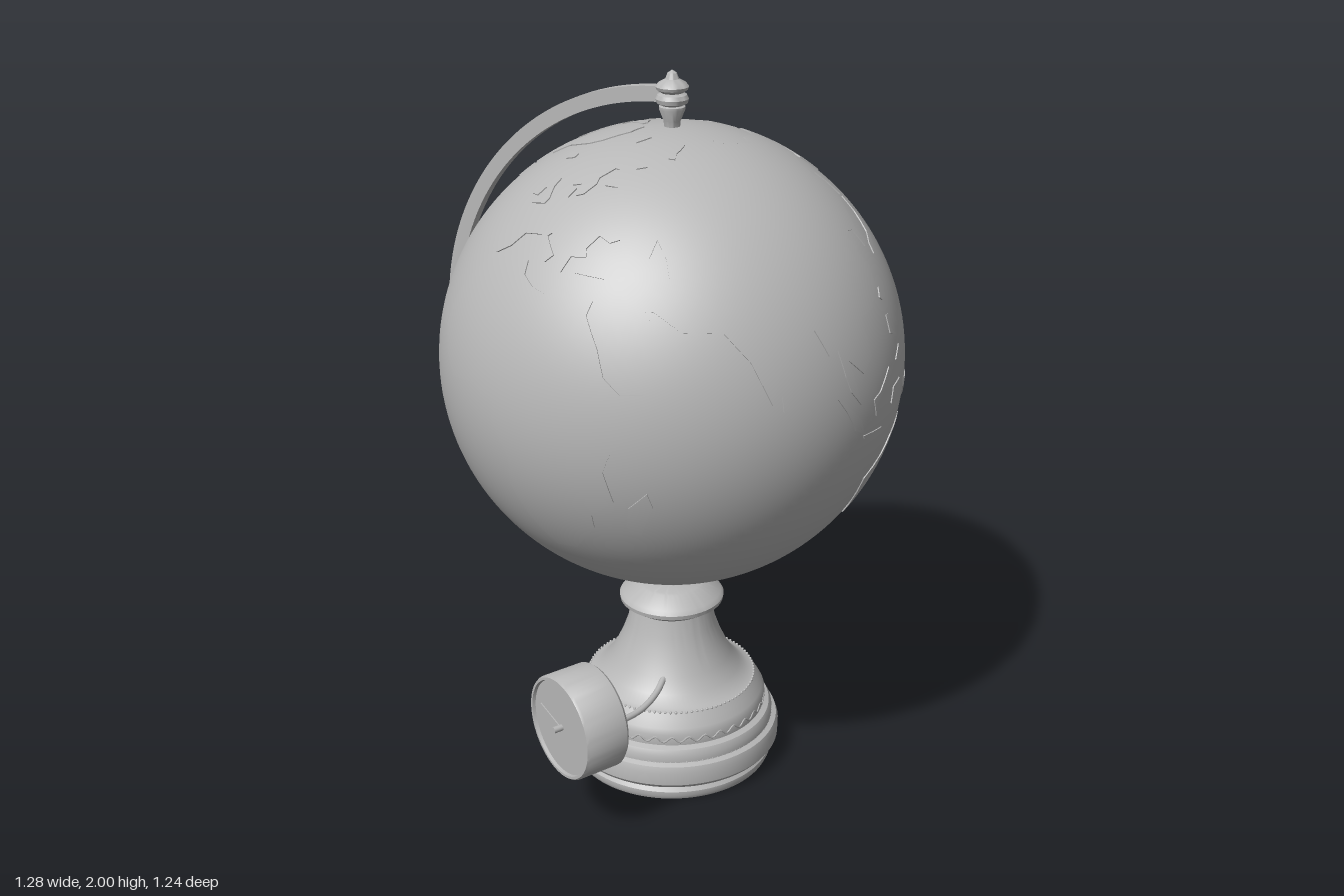
import * as THREE from 'three';
import { mergeGeometries, toCreasedNormals } from 'three/addons/utils/BufferGeometryUtils.js';

const AXIS_X = 0.015, BALL_Y = 1.235, BALL_R = 0.621, RELIEF = 0.003;
const grey = new THREE.MeshStandardMaterial({ color: 0xb8b8b8 });
grey.name = 'plain grey';

// Coastlines as longitude, latitude pairs in degrees
const LAND = {
  europe: [-9, 37, -9, 43, -2, 43.5, -1, 46, -5, 48.5, 2, 51, 8, 54, 8, 57, 10.5, 57.5, 10, 54.5, 14, 54, 19, 54.5, 21, 57, 24, 59, 30, 60,
    23, 60, 21.5, 63, 25, 65.5, 22, 65.8, 17.5, 62, 18.5, 60, 16, 56.5, 13, 55.5, 11, 59, 7, 58, 5, 61, 12, 66, 19, 70, 28, 71, 40, 67.5,
    34, 66.5, 38, 64, 44, 66, 46, 68, 60, 69, 60, 47, 50, 46.5, 48, 42, 41.5, 41.5, 38, 46, 35, 45, 31, 46.5, 28, 43, 29, 41,
    24, 40.5, 23, 38, 22.5, 36.5, 19.5, 41, 13.5, 45, 12.5, 44, 18, 40, 16, 38, 10, 44, 3, 43, 0, 39, -5, 36],
  asia: [60, 69, 68, 69, 73, 72, 80, 73, 98, 76, 104, 77.5, 113, 74, 130, 71, 140, 73, 160, 70, 180, 69, 190, 66, 178, 63, 170, 60, 163, 58,
    162, 55, 157, 51, 156, 57, 163, 62, 155, 59, 143, 59, 136, 54.5, 141, 52, 140, 48, 132, 43, 128, 39.5, 129.5, 36, 126.5, 34.5,
    125, 39.5, 121.5, 40, 118, 38.5, 122, 37, 119.5, 35, 122, 31, 120, 26, 114, 22, 108, 21.5, 109, 12, 105, 9, 100, 13.5, 103.5, 2,
    100, 6, 98.5, 10, 97, 16.5, 94, 16, 91, 22.5, 87, 21.5, 80, 15, 77.5, 8, 73, 18, 67, 25, 57, 25.5, 50, 30, 48, 30, 51, 25, 56.5, 26,
    60, 22, 55, 17, 43, 13, 35, 28, 34, 31.5, 36, 36.5, 27, 37, 26, 39.5, 29, 41, 35, 42, 41.5, 41.5, 48, 42, 50, 37, 54, 37, 53, 42, 50, 46.5, 60, 47],
  africa: [-6, 36, 3, 37, 10, 37.3, 11, 34, 15, 32, 20, 31, 22, 33, 30, 31, 34, 31.3, 33, 28, 37, 21, 39, 15, 43, 11.5, 51, 12, 48, 5, 41, -2,
    39, -7, 41, -15, 35, -20, 35, -24, 32, -28, 27, -34, 20, -35, 18, -32, 15, -26, 12, -17, 13.5, -9, 9, -1, 9.5, 4, 5, 4.5, 2, 6.3,
    -4, 5.2, -8, 4.4, -13, 8.5, -17, 14.5, -16.5, 20, -13, 27.5, -9.5, 31],
  northAmerica: [-168, 66, -156, 71, -141, 69.6, -128, 70, -115, 68, -108, 68, -96, 68, -94, 72, -85, 69.5, -82, 67, -93, 62, -94, 58.5,
    -88, 56.5, -82, 55, -80, 51.5, -77, 56, -78, 62, -70, 61, -65, 59, -61, 56, -56, 52, -66, 50, -64.5, 47, -61, 45.5, -66, 44, -70, 43,
    -74, 40, -76, 35, -81, 31, -80, 25.5, -83, 29.5, -90, 29.5, -97, 28, -97.5, 21, -94, 18, -90.5, 21, -87, 21, -88, 16, -83.5, 15,
    -83, 10, -78, 9, -82, 7.5, -86, 11, -94, 16, -105, 20, -109, 26, -114, 31, -109.5, 23, -115, 29, -120, 34, -124, 40, -124, 47,
    -130, 54, -138, 59, -147, 61, -154, 58, -163, 55, -158, 58.5, -165, 61.5],
  southAmerica: [-78, 9, -72, 12, -62, 10.5, -51, 4, -50, 0, -44, -2.5, -35, -6, -39, -13, -40, -21, -48, -26, -53, -34, -57, -35, -57, -38,
    -62, -39, -65, -43, -66, -48, -68, -54, -72, -53, -75, -46, -73, -37, -70, -20, -76, -14, -81, -5, -80, 0, -77, 4],
  greenland: [-73, 78, -60, 82, -33, 83.5, -18, 80, -20, 73, -25, 70, -40, 65, -43, 60, -50, 62, -54, 69, -58, 75],
  antarctica: [-180, -90, -180, -78, -158, -77, -130, -74, -100, -72.5, -75, -73, -67, -68, -58, -63.5, -62, -70, -62, -75, -40, -78, -25, -75,
    -10, -71, 20, -70, 40, -69, 55, -66, 70, -69, 90, -66.5, 115, -66.5, 140, -66.5, 165, -71, 166, -77.5, 180, -78, 180, -90],
  australia: [114, -22, 122, -18, 126, -14, 131, -12, 136, -12, 136, -15, 140.5, -17.5, 142.3, -11, 146, -19, 150, -23, 153.3, -27,
    150, -37, 144, -38.5, 138, -35, 137, -33, 131, -31.5, 124, -33, 118, -35, 115, -34, 115.5, -31],
  madagascar: [49, -12, 50.3, -16, 47, -25, 44.5, -25, 43.5, -22, 44.5, -16.5],
  borneo: [109, 1.5, 112, 2.5, 117, 7, 119, 5, 117, 1, 116, -4, 110.5, -3],
  sumatra: [95.5, 5.5, 98, 4, 104, -2, 105.7, -6, 102, -4, 98.5, 1.5],
  java: [105.5, -6.5, 114.3, -7.3, 114.3, -8.6, 106, -7.4],
  sulawesi: [120, 1, 125, 1.5, 121, 0, 122.5, -5, 120.5, -5, 119, -3],
  newGuinea: [131, -0.7, 135, -3, 141, -2.6, 147, -6, 150.5, -10.5, 144, -7.7, 138, -8.2, 133, -4],
  philippinesNorth: [120.5, 18.5, 122.3, 18.3, 121.5, 15, 124, 12.7, 120.5, 14],
  philippinesSouth: [122, 7, 125.5, 9.7, 126.3, 6.5],
  japan: [130, 31.5, 131, 34, 136, 36, 140, 41, 142, 45.3, 145, 43.5, 141, 42, 142, 39.5, 140.5, 35.5, 135.5, 33.6],
  sakhalin: [142, 46, 142, 54, 143.5, 52, 143.5, 47],
  taiwan: [120, 23, 121.5, 25.2, 121, 22],
  sriLanka: [80, 9.7, 81.8, 7, 80.3, 6],
  britain: [-5.5, 50, 1.3, 51.2, 1.5, 52.7, -2, 56, -3, 58.6, -6, 57, -3, 54.5, -4.7, 52],
  ireland: [-10, 52, -6.3, 52.2, -6, 55, -9.5, 54],
  iceland: [-24, 65.5, -16, 66.4, -13.7, 65, -19, 63.4],
  svalbard: [11, 79.5, 25, 80.3, 16.5, 76.7],
  novayaIsland: [52, 71, 56, 74, 68, 77, 58, 73, 57, 70.7],
  baffin: [-90, 73.5, -78, 73.5, -62, 66.5, -66, 62.5, -73, 65, -73, 68, -88, 71],
  victoria: [-117, 70, -116, 73, -105, 73, -102, 69, -112, 68.7],
  ellesmere: [-90, 77, -90, 81, -70, 83, -62, 82.3, -78, 77],
  newfoundland: [-59, 47.7, -56, 51.5, -53, 47],
  cuba: [-84.8, 22, -81, 23.2, -74.3, 20.2, -78, 20],
  hispaniola: [-74, 18.4, -72.5, 19.9, -68.5, 18.5],
  northNewZealand: [172.8, -34.6, 178.3, -37.8, 175.2, -41.5, 174.5, -38.5],
  southNewZealand: [172.7, -40.6, 174.2, -41.8, 170.7, -45.8, 168, -46.6, 166.6, -45.8],
  tasmania: [144.7, -40.8, 148.2, -41, 147, -43.6],
};

function onGlobe([lon, lat], r) {
  return new THREE.Vector3().setFromSphericalCoords(r, (90 - lat) * Math.PI / 180, lon * Math.PI / 180);
}

// Raised land: curved top split into small triangles, with a low wall along the coast
function landGeometry(flat) {
  const MAX = 5, pos = [], nor = [];
  let pts = [];
  const dist = (a, b) => Math.hypot(a[0] - b[0], a[1] - b[1]);
  const mix = (a, b, t) => [a[0] + (b[0] - a[0]) * t, a[1] + (b[1] - a[1]) * t];
  for (let i = 0; i < flat.length; i += 2) {
    const a = [flat[i], flat[i + 1]], j = (i + 2) % flat.length, b = [flat[j], flat[j + 1]];
    const n = Math.ceil(dist(a, b) / MAX);
    for (let k = 0; k < n; k++) pts.push(mix(a, b, k / n));
  }
  let contour = pts.map(p => new THREE.Vector2(...p));
  if (THREE.ShapeUtils.isClockWise(contour)) { contour.reverse(); pts.reverse(); }
  const top = (a, b, c) => {
    const [d, p, q, r] = [[dist(a, b), a, b, c], [dist(b, c), b, c, a], [dist(c, a), c, a, b]].sort((x, y) => y[0] - x[0])[0];
    if (d > MAX + 0.01) {
      const m = mix(p, q, 0.5);
      top(p, m, r);
      top(m, q, r);
      return;
    }
    for (const v of [a, b, c]) {
      pos.push(...onGlobe(v, BALL_R + RELIEF).toArray());
      nor.push(...onGlobe(v, 1).toArray());
    }
  };
  for (const [a, b, c] of THREE.ShapeUtils.triangulateShape(contour, [])) top(pts[a], pts[b], pts[c]);
  pts.forEach((p, i) => {
    const q = pts[(i + 1) % pts.length];
    const a = onGlobe(p, BALL_R - 0.002), b = onGlobe(q, BALL_R - 0.002);
    const c = onGlobe(q, BALL_R + RELIEF), d = onGlobe(p, BALL_R + RELIEF);
    const n = b.clone().sub(a).cross(d.clone().sub(a)).normalize();
    for (const v of [a, b, c, a, c, d]) { pos.push(...v.toArray()); nor.push(...n.toArray()); }
  });
  const g = new THREE.BufferGeometry();
  g.setAttribute('position', new THREE.Float32BufferAttribute(pos, 3));
  g.setAttribute('normal', new THREE.Float32BufferAttribute(nor, 3));
  return g;
}

function turned(profile, segments = 80) {
  return toCreasedNormals(new THREE.LatheGeometry(profile.map(p => new THREE.Vector2(...p)), segments), 0.6);
}

export function createModel() {
  const model = new THREE.Group();
  model.name = 'desk globe';
  const add = (name, geometry, x = 0, y = 0, z = 0, parent = model) => {
    const mesh = new THREE.Mesh(geometry, grey);
    mesh.name = name;
    mesh.position.set(x, y, z);
    parent.add(mesh);
    return mesh;
  };

  // Ball with raised continents
  const ball = new THREE.Group();
  ball.name = 'ball';
  ball.position.set(AXIS_X, BALL_Y, 0);
  model.add(ball);
  add('ocean', new THREE.SphereGeometry(BALL_R, 128, 80), 0, 0, 0, ball);
  for (const [name, coast] of Object.entries(LAND)) add(name, landGeometry(coast), 0, 0, 0, ball);

  // Half-ring arm
  const half = new THREE.Shape();
  half.absarc(0, 0, 0.722, Math.PI / 2, Math.PI * 1.5, false);
  half.absarc(0, 0, 0.682, Math.PI * 1.5, Math.PI / 2, true);
  const armGeo = new THREE.ExtrudeGeometry(half, { depth: 0.028, bevelEnabled: false, curveSegments: 64 });
  armGeo.translate(0, 0, -0.014);
  add('meridianArm', toCreasedNormals(armGeo, 0.6), AXIS_X, BALL_Y, 0).rotation.y = 0.442;

  // Finial and lower pivot
  add('finial', turned([[0, 1.85], [0.02, 1.85], [0.022, 1.87], [0.034, 1.9], [0.034, 1.907], [0.028, 1.91], [0.04, 1.916], [0.043, 1.927],
    [0.038, 1.937], [0.028, 1.942], [0.04, 1.95], [0.043, 1.958], [0.036, 1.967], [0.018, 1.977], [0.012, 1.992], [0, 2]], 32), AXIS_X);
  add('lowerPivot', turned([[0, 0.53], [0.027, 0.53], [0.027, 0.56], [0.022, 0.595], [0.014, 0.615], [0, 0.62]], 32), AXIS_X);

  // Turned base
  add('base', turned([[0, 0], [0.285, 0], [0.291, 0.012], [0.291, 0.025], [0.282, 0.038], [0.285, 0.046], [0.302, 0.05], [0.311, 0.062],
    [0.312, 0.1], [0.306, 0.118], [0.292, 0.124], [0.292, 0.145], [0.284, 0.16], [0.268, 0.166], [0.27, 0.2], [0.262, 0.215],
    [0.25, 0.235], [0.238, 0.253], [0.222, 0.258], [0.195, 0.283], [0.168, 0.322], [0.143, 0.375], [0.125, 0.425], [0.115, 0.475],
    [0.13, 0.485], [0.146, 0.496], [0.148, 0.508], [0.14, 0.52], [0.095, 0.545], [0.088, 0.549], [0, 0.549]], 96), AXIS_X);

  // Zigzag band and beaded rows
  const zigzag = [];
  for (let i = 0; i < 72; i++) {
    const a = i / 72 * Math.PI * 2;
    zigzag.push(new THREE.Vector3(Math.sin(a) * 0.269, i % 2 ? 0.192 : 0.176, Math.cos(a) * 0.269));
  }
  add('zigzagBand', new THREE.TubeGeometry(new THREE.CatmullRomCurve3(zigzag, true), 288, 0.003, 5, true), AXIS_X);
  const beadRow = (name, r, y, count) => {
    const beads = [];
    for (let i = 0; i < count; i++) {
      const a = i / count * Math.PI * 2;
      beads.push(new THREE.SphereGeometry(0.004, 8, 6).translate(Math.sin(a) * r, y, Math.cos(a) * r));
    }
    add(name, mergeGeometries(beads), AXIS_X);
  };
  beadRow('upperBeads', 0.238, 0.253, 100);
  beadRow('lowerBeads', 0.289, 0.124, 120);

  // Round gauge facing the front
  const gauge = new THREE.Group();
  gauge.name = 'gauge';
  gauge.position.set(0.215, 0.345, 0);
  model.add(gauge);
  add('gaugeHousing', turned([[0, 0.378], [0.138, 0.378], [0.145, 0.386], [0.145, 0.502], [0.141, 0.509], [0.134, 0.509],
    [0.132, 0.5], [0, 0.5]], 64).rotateX(Math.PI / 2), 0, 0, 0, gauge);
  add('gaugeHub', new THREE.CylinderGeometry(0.009, 0.009, 0.027, 16).rotateX(Math.PI / 2), 0, 0, 0.5125, gauge);
  const needle = new THREE.Shape([[0, -0.004], [0.1, -0.0015], [0.1, 0.0015], [0, 0.004]].map(p => new THREE.Vector2(...p)));
  add('gaugeNeedle', new THREE.ExtrudeGeometry(needle, { depth: 0.003, bevelEnabled: false }), 0, 0, 0.503, gauge).rotation.z = 2.87;

  // Bent rod joining gauge and base
  const rod = new THREE.CatmullRomCurve3([[0.215, 0.305, 0.39], [0.212, 0.293, 0.32], [0.195, 0.291, 0.23], [0.165, 0.302, 0.16], [0.125, 0.322, 0.1]]
    .map(p => new THREE.Vector3(...p)));
  add('gaugeRod', new THREE.TubeGeometry(rod, 32, 0.009, 12, false));
  return model;
}
